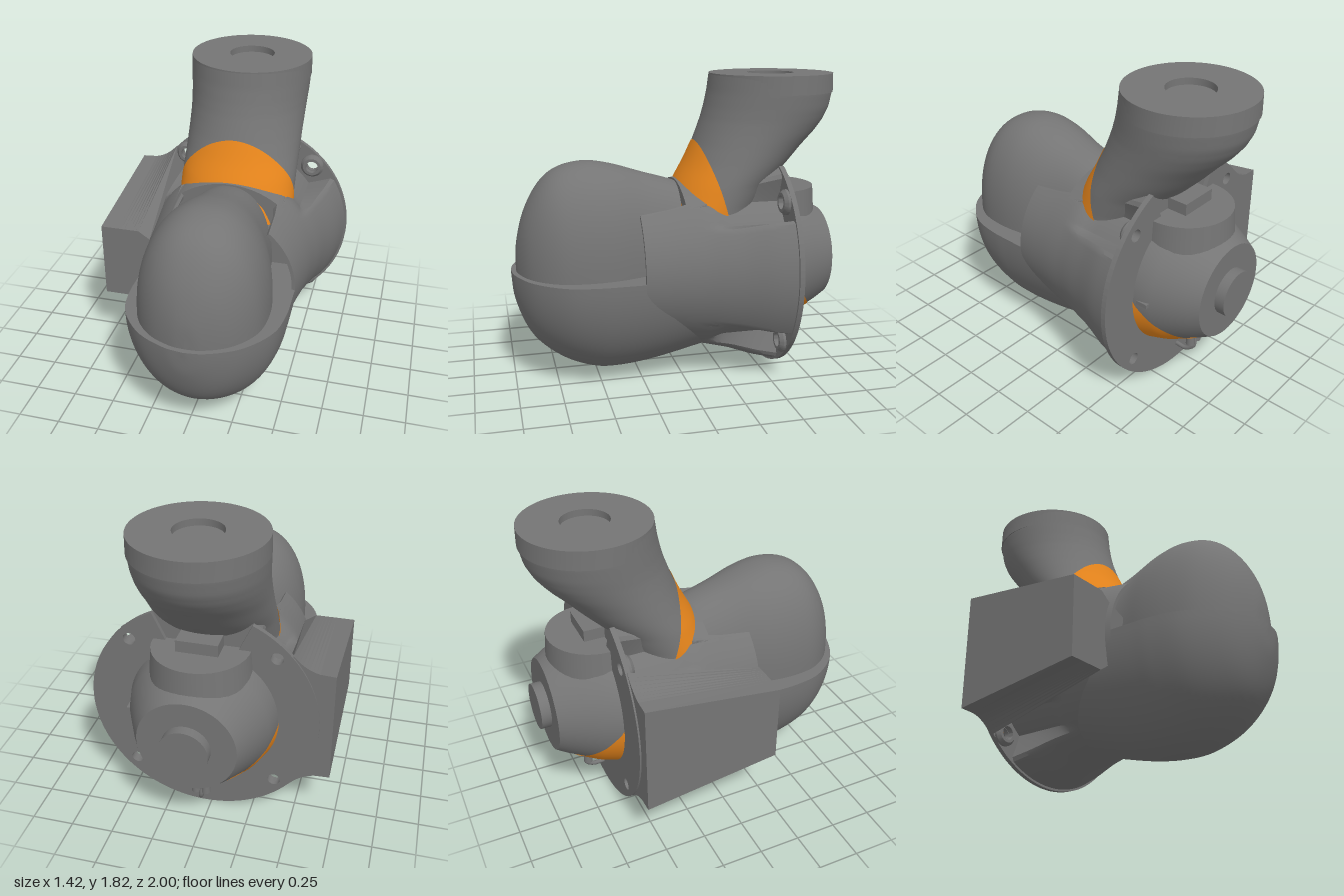
import * as THREE from 'three';
import { toCreasedNormals } from 'three/addons/utils/BufferGeometryUtils.js';

const CX = 0.04, CY = 0.68; // main axis of the joint, running along z
const RAD = Math.PI / 180;
const lerp = THREE.MathUtils.lerp;

// Linear lookup in rows [key, a, b, ...] sorted by rising key
function lookup(rows, k, col) {
  let i = 0;
  while (i < rows.length - 2 && k > rows[i + 1][0]) i++;
  const [p, q] = [rows[i], rows[i + 1]];
  const t = THREE.MathUtils.clamp((k - p[0]) / (q[0] - p[0]), 0, 1);
  return lerp(p[col], q[col], t);
}

// Surface from fn(u, v) -> [x, y, z] with u, v in 0..1
function surface(nu, nv, fn, crease = 0.6) {
  const pos = [], idx = [];
  for (let j = 0; j <= nv; j++) for (let i = 0; i <= nu; i++) pos.push(...fn(i / nu, j / nv));
  for (let j = 0; j < nv; j++) for (let i = 0; i < nu; i++) {
    const a = j * (nu + 1) + i, b = a + nu + 1;
    idx.push(a, a + 1, b, a + 1, b + 1, b);
  }
  const g = new THREE.BufferGeometry();
  g.setAttribute('position', new THREE.Float32BufferAttribute(pos, 3));
  g.setIndex(idx);
  return toCreasedNormals(g, crease);
}

function bisect(lo, hi, f) {
  for (let i = 0; i < 30; i++) {
    const m = (lo + hi) / 2;
    if (f(m)) lo = m; else hi = m;
  }
  return lo;
}

export function createModel() {
  const root = new THREE.Group();
  const grey = new THREE.MeshStandardMaterial({ color: 0x757575, side: THREE.DoubleSide });
  grey.name = 'housing grey';
  const orange = new THREE.MeshStandardMaterial({ color: 0xe8861c, side: THREE.DoubleSide });
  orange.name = 'accent orange';
  const add = (name, geo, mat = grey, x = 0, y = 0, z = 0) => {
    const m = new THREE.Mesh(geo, mat);
    m.name = name;
    m.position.set(x, y, z);
    root.add(m);
    return m;
  };
  // Lathe turned so that its axis points along z; points are [radius, z]
  const latheZ = (pts) => toCreasedNormals(
    new THREE.LatheGeometry(pts.map(p => new THREE.Vector2(...p)), 56).rotateX(Math.PI / 2), 0.5);

  // Flared housing with side wings in front and pockets around the bolts
  const cone = [[-0.6, 0.67], [-0.45, 0.63], [-0.3, 0.575], [-0.1, 0.525], [0.1, 0.495], [0.27, 0.475]];
  const pockets = [45, 135, 225, 315];
  const radius = (deg, z) => {
    let r = lookup(cone, z, 1);
    for (const p of pockets) {
      const d = Math.abs(deg - p);
      const k = 1 - THREE.MathUtils.smoothstep(d, 9, 14);
      r -= k * Math.max(0, r - 0.5) * THREE.MathUtils.smoothstep(-z, 0.08, 0.25);
    }
    return r;
  };
  const wing = [[-90, 0], [-46, 0], [-30, 0.27], [50, 0.27], [53, 0], [90, 0]];
  const ROWS = 20;
  add('housing', surface(180, ROWS + 4, (u, v) => {
    const deg = u * 360, a = deg * RAD, row = Math.round(v * (ROWS + 4));
    const elev = Math.asin(THREE.MathUtils.clamp(Math.sin(a), -1, 1)) / RAD;
    const zf = lookup(wing, elev, 1);
    let z, r;
    if (row === 0) [r, z] = [0, 0];
    else if (row === 1) [r, z] = [radius(deg, 0) - 0.04, 0];
    else if (row === 2) [r, z] = [radius(deg, zf) - 0.02, zf];
    else if (row === ROWS + 4) [r, z] = [0, -0.575];
    else {
      z = lerp(zf, -0.575, (row - 3) / ROWS);
      r = radius(deg, z);
    }
    return [CX + r * Math.cos(a), CY + r * Math.sin(a), z];
  }));

  // Rear flange ring, open at the top for the arm, with four bolt holes
  const ring = new THREE.Shape();
  ring.absarc(0, 0, 0.675, 115 * RAD, 425 * RAD, false);
  ring.absarc(0, 0, 0.43, 425 * RAD, 115 * RAD, true);
  const bolts = pockets.map(d => [0.6 * Math.cos(d * RAD), 0.6 * Math.sin(d * RAD)]);
  for (const [x, y] of bolts) ring.holes.push(new THREE.Path().absarc(x, y, 0.037, 0, Math.PI * 2, true));
  add('flange', new THREE.ExtrudeGeometry(ring, { depth: 0.03, bevelEnabled: false, curveSegments: 48 }),
    grey, CX, CY, -0.6);
  const nut = latheZ([[0.04, 0], [0.04, 0.04], [0.058, 0.04], [0.075, 0.02], [0.075, 0]]);
  for (const [x, y] of bolts) add('boltSeat', nut, grey, CX + x, CY + y, -0.575);

  // Side box, shallower towards the front and blended into the flange
  const side = new THREE.Shape();
  side.moveTo(-0.71, -0.35);
  side.lineTo(-0.62, -0.355);
  side.quadraticCurveTo(-0.54, -0.37, -0.47, -0.45);
  side.lineTo(-0.4, -0.28);
  side.lineTo(-0.25, -0.2);
  side.lineTo(-0.25, 0.2);
  side.lineTo(-0.4, 0.28);
  side.lineTo(-0.47, 0.45);
  side.quadraticCurveTo(-0.54, 0.37, -0.62, 0.355);
  side.lineTo(-0.71, 0.35);
  const boxGeo = new THREE.ExtrudeGeometry(side, { depth: 0.825, bevelEnabled: false, curveSegments: 8 });
  const bp = boxGeo.attributes.position;
  for (let i = 0; i < bp.count; i++) {
    const t = bp.getZ(i) / 0.825, y = bp.getY(i);
    const flare = Math.max(0, Math.abs(y) - 0.35) * (1 - t);
    bp.setY(i, Math.sign(y) * (Math.min(Math.abs(y), 0.35) + flare) * lerp(1, 0.69, t));
  }
  boxGeo.computeVertexNormals();
  add('sideBox', boxGeo, grey, 0, CY, -0.59);

  // Front elbow: half-oval sections along z, rows are [z, half width, height]
  const elbow = (name, rows, sign, power) => {
    const w = new THREE.CatmullRomCurve3(rows.map(r => new THREE.Vector3(...r)), false, 'centripetal');
    add(name, surface(56, 48, (u, v) => {
      const p = w.getPoint(v);
      // the last part of u closes the flat side
      const a = Math.min(u * 56 / 48, 1) * Math.PI, c = Math.cos(a);
      const flat = Math.max(0, (u * 56 - 48) / 8);
      const x = u * 56 > 48 ? lerp(-1, 1, flat) : Math.sign(c) * Math.abs(c) ** (2 / power);
      const y = u * 56 > 48 ? 0 : Math.abs(Math.sin(a)) ** (2 / power);
      return [CX + x * p.y, CY + sign * y * p.z, p.x];
    }));
  };
  elbow('elbowCap', [[0.97, 0, 0], [0.96, 0.086, 0.17], [0.9, 0.22, 0.38], [0.8, 0.317, 0.54], [0.7, 0.364, 0.61],
    [0.55, 0.38, 0.64], [0.4, 0.365, 0.62], [0.2, 0.31, 0.56], [0, 0.28, 0.5], [-0.2, 0.27, 0.42]], 1, 2.25);
  elbow('elbowCup', [[1, 0, 0], [0.98, 0.12, 0.18], [0.88, 0.307, 0.41], [0.7, 0.439, 0.56], [0.52, 0.473, 0.63],
    [0.4, 0.475, 0.64], [0.2, 0.473, 0.62], [-0.1, 0.47, 0.55], [-0.3, 0.45, 0.5]], -1, 2.05);

  // Upper arm: oval sections, rows are [y, front z, back z, half width]
  const armRows = [[0.85, 0.12, -0.45, 0.36], [1.05, 0.05, -0.5, 0.36], [1.18, -0.01, -0.58, 0.36],
    [1.3, -0.075, -0.7, 0.36], [1.4, -0.12, -0.79, 0.36], [1.48, -0.15, -0.87, 0.362], [1.55, -0.175, -0.925, 0.365],
    [1.62, -0.195, -0.96, 0.37], [1.71, -0.215, -0.978, 0.375], [1.82, -0.23, -0.98, 0.375]];
  const armPoint = (a, y, grow = 0) => {
    const f = lookup(armRows, y, 1), b = lookup(armRows, y, 2), w = lookup(armRows, y, 3);
    return [CX + (w + grow) * Math.sin(a), y, (f + b) / 2 + ((f - b) / 2 + grow) * Math.cos(a)];
  };
  add('upperArm', surface(64, 48, (u, v) => armPoint(u * Math.PI * 2, lerp(0.85, 1.815, v))));
  add('armEnd', toCreasedNormals(new THREE.LatheGeometry([[0, 1.78], [0.14, 1.78], [0.14, 1.82], [0.376, 1.82],
    [0.378, 1.71], [0.36, 1.71]].map(p => new THREE.Vector2(...p)), 64), 0.5), grey, CX, 0, -0.605);
  // Orange wedge on the front of the arm, cut by a slanted plane
  add('armAccent', surface(48, 12, (u, v) => {
    const a = lerp(-100, 100, u) * RAD;
    const top = bisect(0.95, 1.45, y => armPoint(a, y)[2] > -0.13 + (y - 1.42) * 0.28);
    return armPoint(a, lerp(0.95, top, v), 0.004);
  }), orange);

  // Rear motor dome with end boss and a short neck pointing up
  const dome = [[-0.94, 0.285], [-0.88, 0.32], [-0.8, 0.36], [-0.7, 0.41], [-0.6, 0.44]];
  add('motorDome', latheZ([[0, -1], [0.14, -1], [0.14, -0.94], ...dome.map(([z, r]) => [r, z]), [0.44, -0.57]]),
    grey, CX, CY, 0);
  add('motorNeck', new THREE.CylinderGeometry(0.28, 0.31, 0.4, 40), grey, CX, 0.93, -0.605);
  add('neckLug', new THREE.BoxGeometry(0.24, 0.08, 0.14), grey, CX, 1.16, -0.63);
  // Orange wedge under the dome
  add('motorAccent', surface(48, 10, (u, v) => {
    const a = lerp(-180, 0, u) * RAD;
    const at = z => lookup(dome, z, 1) + 0.004;
    const end = bisect(0.6, 0.93, d => d < 0.6 + (0.67 - CY - at(-d) * Math.sin(a)) * 0.78);
    const z = -lerp(0.6, end, v);
    return [CX + at(z) * Math.cos(a), CY + at(z) * Math.sin(a), z];
  }), orange);

  // Locating pin and the cable plug below the dome
  add('pin', new THREE.BoxGeometry(0.03, 0.025, 0.09), grey, 0.46, CY, -0.645);
  const path = new THREE.CatmullRomCurve3([[0.04, 0.11, -0.6], [0.04, 0.11, -0.67], [0.03, 0.15, -0.72],
    [0.02, 0.22, -0.715]].map(p => new THREE.Vector3(...p)));
  add('cable', new THREE.TubeGeometry(path, 16, 0.014, 8), grey);
  for (const x of [0, 0.06]) add('cablePlug', new THREE.CylinderGeometry(0.024, 0.028, 0.09, 12), grey, x, 0.225, -0.715);
  return root;
}
